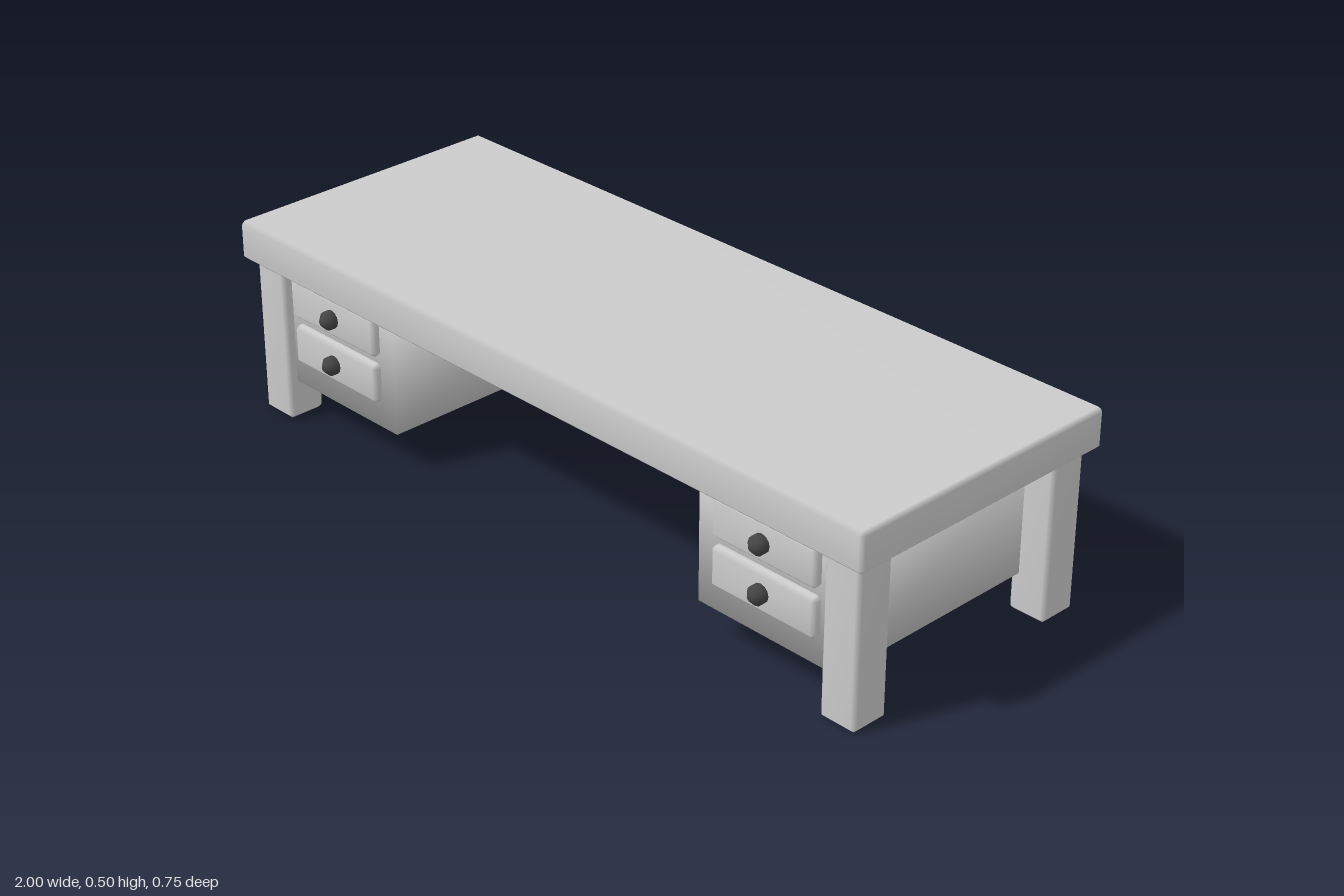
import * as THREE from 'three';
import { mergeVertices } from 'three/addons/utils/BufferGeometryUtils.js';
import { ConvexGeometry } from 'three/addons/geometries/ConvexGeometry.js';

const grey = new THREE.MeshStandardMaterial({ color: 0xcccccc });
const dark = new THREE.MeshStandardMaterial({ color: 0x444444 });

// Share vertices so the shading runs smoothly over the edges
function smooth(geometry) {
  geometry.deleteAttribute('normal');
  geometry.deleteAttribute('uv');
  const merged = mergeVertices(geometry, 1e-5);
  merged.computeVertexNormals();
  return merged;
}

// Box with a single chamfer along every edge
function chamferedBox(w, h, d, bevel) {
  const half = [w / 2, h / 2, d / 2];
  const points = [];
  for (const sx of [-1, 1]) for (const sy of [-1, 1]) for (const sz of [-1, 1]) {
    for (let axis = 0; axis < 3; axis++) {
      const p = [sx, sy, sz].map((s, i) => s * (half[i] - (i === axis ? 0 : bevel)));
      points.push(new THREE.Vector3(...p));
    }
  }
  return smooth(new ConvexGeometry(points));
}

function add(parent, name, geometry, material, x, y, z) {
  const mesh = new THREE.Mesh(geometry, material);
  mesh.name = name;
  mesh.position.set(x, y, z);
  parent.add(mesh);
  return mesh;
}

export function createModel() {
  const desk = new THREE.Group();
  desk.name = 'desk';

  // Table top
  add(desk, 'tableTop', chamferedBox(2, 0.1, 0.75, 0.01), grey, 0, 0.45, 0);

  const legShape = chamferedBox(0.1, 0.4, 0.1, 0.01);
  const pedestalShape = smooth(new THREE.BoxGeometry(0.4, 0.3, 0.65));
  const drawerShape = chamferedBox(0.3, 0.1, 0.04, 0.01);

  // Faceted round knob, turned about the z axis
  const profile = [[0, -0.023]];
  for (let i = 0; i < 4; i++) {
    const a = THREE.MathUtils.degToRad(-67.5 + i * 45);
    profile.push([0.025 * Math.cos(a), 0.025 * Math.sin(a)]);
  }
  profile.push([0, 0.023]);
  const knobShape = new THREE.LatheGeometry(profile.map((p) => new THREE.Vector2(...p)), 12);
  knobShape.rotateX(Math.PI / 2);

  for (const side of [1, -1]) {
    const label = side > 0 ? 'left' : 'right';

    // Legs
    add(desk, label + 'FrontLeg', legShape, grey, side * 0.925, 0.2, 0.3);
    add(desk, label + 'BackLeg', legShape, grey, side * 0.925, 0.2, -0.3);

    // Pedestal with two drawers
    const pedestal = new THREE.Group();
    pedestal.name = label + 'Pedestal';
    pedestal.position.x = side * 0.7;
    desk.add(pedestal);
    add(pedestal, 'cabinet', pedestalShape, grey, 0, 0.25, 0);
    for (const [level, y] of [['upper', 0.337], ['lower', 0.217]]) {
      add(pedestal, level + 'Drawer', drawerShape, grey, 0, y, 0.325);
      add(pedestal, level + 'Knob', knobShape, dark, 0, y, 0.352);
    }
  }
  return desk;
}
